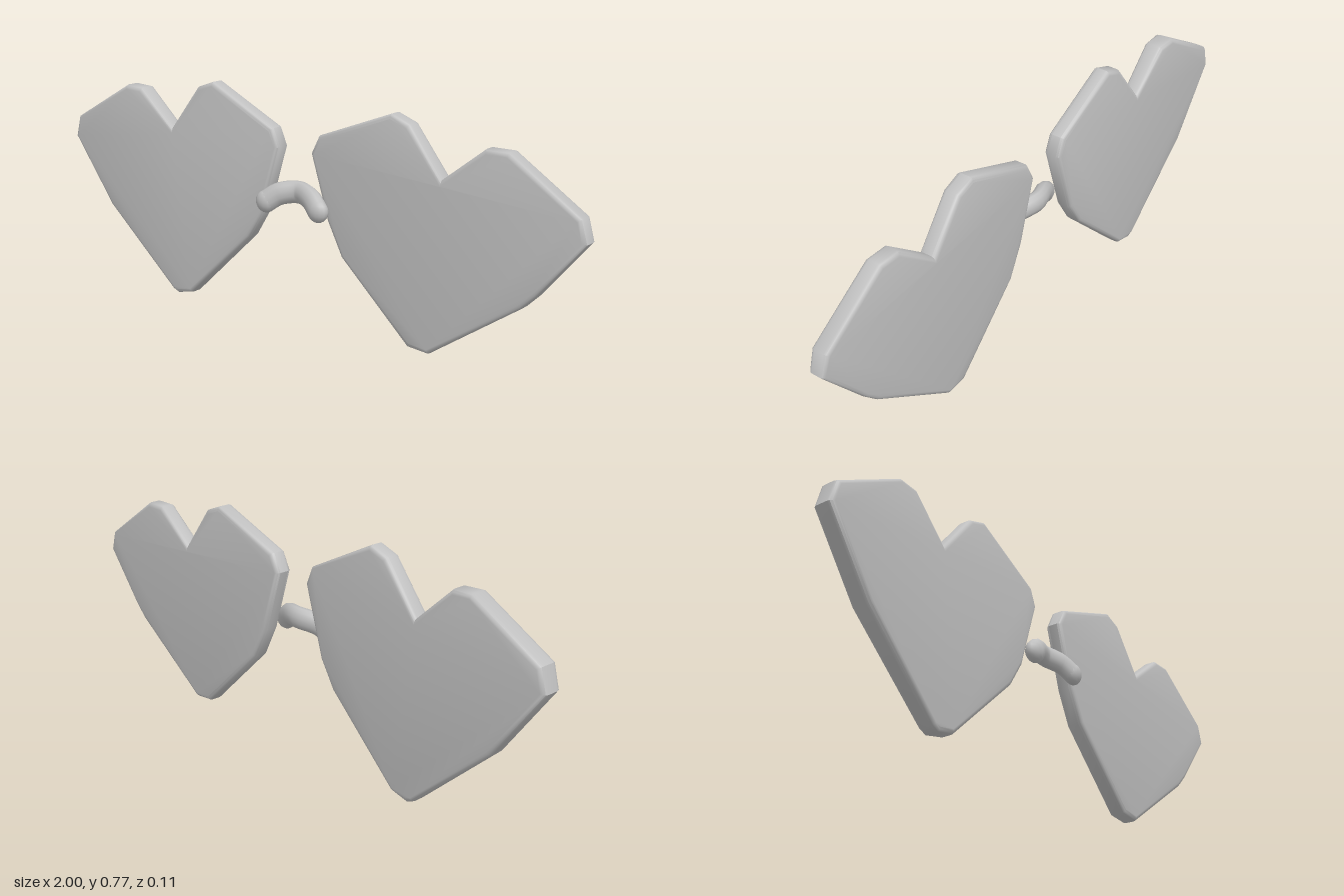
import * as THREE from 'three';
import { toCreasedNormals } from 'three/addons/utils/BufferGeometryUtils.js';

const leftLensOutline = [
  [0.535, 0.57], [0.42, 0.72], [0.355, 0.745], [0.09, 0.645], [0.06, 0.585],
  [0.125, 0.375], [0.18, 0.265], [0.43, 0.025], [0.505, 0.018], [0.81, 0.23],
  [0.855, 0.275], [1, 0.455], [0.98, 0.525], [0.75, 0.68], [0.675, 0.68],
];
const rightLensOutline = [
  [-0.53, 0.595], [-0.665, 0.718], [-0.735, 0.722], [-0.98, 0.585], [-1, 0.51],
  [-0.83, 0.275], [-0.545, 0.014], [-0.52, 0.003], [-0.455, 0.018], [-0.195, 0.265],
  [-0.14, 0.355], [-0.07, 0.585], [-0.095, 0.645], [-0.345, 0.77], [-0.41, 0.747],
];

// Heart-shaped slab with soft edges; the outer end can be slightly thicker
function makeLens(name, outline, swell, material) {
  const shape = new THREE.Shape(outline.map(([x, y]) => new THREE.Vector2(x, y)));
  const bevel = 0.014, thickness = 0.06;
  const geometry = new THREE.ExtrudeGeometry(shape, {
    depth: thickness - 2 * bevel, bevelThickness: bevel, bevelSize: bevel,
    bevelOffset: -bevel, bevelSegments: 3,
  });
  geometry.translate(0, 0, bevel - thickness / 2);
  const position = geometry.attributes.position;
  for (let i = 0; i < position.count; i++) {
    const outer = THREE.MathUtils.smoothstep(Math.abs(position.getX(i)), 0.5, 0.75);
    position.setZ(i, position.getZ(i) * (1 + swell * outer) - 0.017);
  }
  geometry.computeVertexNormals();
  const lens = new THREE.Mesh(toCreasedNormals(geometry, 0.75), material);
  lens.name = name;
  return lens;
}

// Curved nose bridge with rounded ends, flattened front to back
function makeBridge(material) {
  const bridge = new THREE.Group();
  bridge.name = 'noseBridge';
  const radius = 0.037, flat = 0.72;
  const points = [
    [-0.104, 0.408, 0.03], [-0.065, 0.435, 0.012], [0, 0.446, -0.01],
    [0.065, 0.435, 0.012], [0.104, 0.408, 0.03],
  ].map(([x, y, z]) => new THREE.Vector3(x, y, z / flat));
  const curve = new THREE.CatmullRomCurve3(points);
  const arch = new THREE.Mesh(new THREE.TubeGeometry(curve, 20, radius, 12), material);
  arch.name = 'bridgeArch';
  bridge.add(arch);
  for (const end of [points[0], points[4]]) {
    const cap = new THREE.Mesh(new THREE.SphereGeometry(radius, 14, 10), material);
    cap.name = 'bridgeEnd';
    cap.position.copy(end);
    bridge.add(cap);
  }
  bridge.scale.z = flat;
  return bridge;
}

export function createModel() {
  const model = new THREE.Group();
  model.name = 'heartGlasses';
  const grey = new THREE.MeshStandardMaterial({ color: 0xc0c0c0 });
  grey.name = 'light grey';
  model.add(
    makeLens('leftLens', leftLensOutline, 0, grey),
    makeLens('rightLens', rightLensOutline, 0.2, grey),
    makeBridge(grey),
  );
  return model;
}
